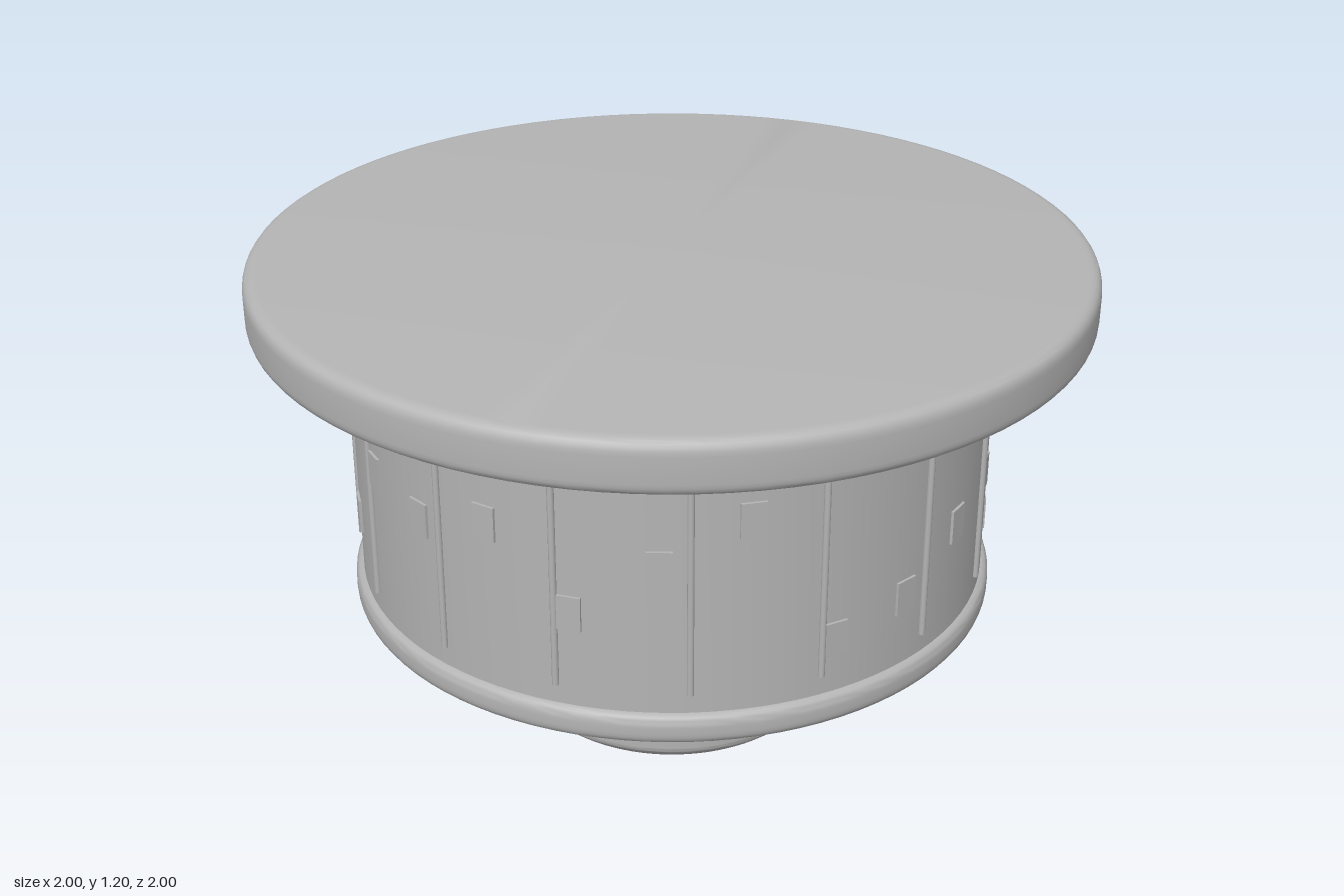
import * as THREE from 'three';
import { toCreasedNormals } from 'three/addons/utils/BufferGeometryUtils.js';

const SEGMENTS = 96;
const DRUM_RADIUS = 0.77;

// Solid of revolution with square or rounded outer corners: [radius, y, cornerRadius]
function turned(name, corners, material) {
  const points = [];
  corners.forEach(([x, y, r = 0], i) => {
    const p = new THREE.Vector2(x, y);
    if (!r) return points.push(p);
    const toward = ([nx, ny]) =>
      new THREE.Vector2(nx, ny).sub(p).setLength(r).add(p);
    const a = toward(corners[i - 1]);
    const b = toward(corners[i + 1]);
    points.push(...new THREE.QuadraticBezierCurve(a, p, b).getPoints(6));
  });
  const geometry = toCreasedNormals(new THREE.LatheGeometry(points, SEGMENTS), 0.6);
  const mesh = new THREE.Mesh(geometry, material);
  mesh.name = name;
  return mesh;
}

// Place a mesh on the drum wall, facing outward
function onWall(mesh, angle, radius, y) {
  mesh.position.set(Math.sin(angle) * radius, y, Math.cos(angle) * radius);
  mesh.rotation.y = angle;
  return mesh;
}

export function createModel() {
  const model = new THREE.Group();
  model.name = 'roundTower';
  const stone = new THREE.MeshStandardMaterial({ color: 0xb4b4b4 });
  stone.name = 'grey stone';

  // Foot, flared underside, drum and broad top
  model.add(
    turned('foot', [
      [0, 0.02], [0.3, 0.02], [0.31, 0], [0.35, 0, 0.02], [0.395, 0.04, 0.012],
      [0.395, 0.155], [0, 0.155],
    ], stone),
    turned('flare', [[0, 0.155], [0.4, 0.155], [0.665, 0.372], [0, 0.372]], stone),
    turned('drum', [[0, 0.37], [DRUM_RADIUS, 0.37], [DRUM_RADIUS, 1.09], [0, 1.09]], stone),
    turned('lowerRing', [
      [0.7, 0.372], [0.71, 0.334, 0.015], [0.79, 0.334, 0.03],
      [0.79, 0.412, 0.03], [0.74, 0.412],
    ], stone),
    turned('upperRing', [
      [0.74, 1.04], [0.787, 1.04, 0.025], [0.787, 1.09], [0.74, 1.09],
    ], stone),
    turned('topDisc', [
      [0, 1.075], [1, 1.075, 0.03], [1, 1.202, 0.035], [0, 1.202],
    ], stone),
  );

  // Sixteen slim rods, each crowned by a bead
  const rodGeometry = new THREE.CylinderGeometry(0.008, 0.008, 0.54, 10);
  const beadGeometry = new THREE.SphereGeometry(0.026, 16, 12);
  for (let i = 0; i < 16; i++) {
    const angle = (i * Math.PI) / 8;
    const rod = onWall(new THREE.Mesh(rodGeometry, stone), angle, 0.773, 0.73);
    rod.name = 'rod';
    const bead = onWall(new THREE.Mesh(beadGeometry, stone), angle, 0.779, 1.003);
    bead.name = 'bead';
    model.add(rod, bead);
  }

  // Thin raised blocks scattered at uneven heights around the wall
  const blockHeights = [
    0.55, 0.59, 0.69, 0.725, 0.52, 0.69, 0.77, 0.58, 0.69, 0.54, 0.68, 0.88,
    0.53, 0.89, 0.63, 0.81, 0.62, 0.59, 0.8, 0.77, 0.83, 0.65, 0.78, 0.89,
  ];
  const blockGeometry = new THREE.BoxGeometry(0.058, 0.085, 0.02);
  blockHeights.forEach((y, i) => {
    const angle = THREE.MathUtils.degToRad(2.5 + i * 15);
    const block = onWall(new THREE.Mesh(blockGeometry, stone), angle, 0.766, y);
    block.name = 'wallBlock';
    model.add(block);
  });

  return model;
}
